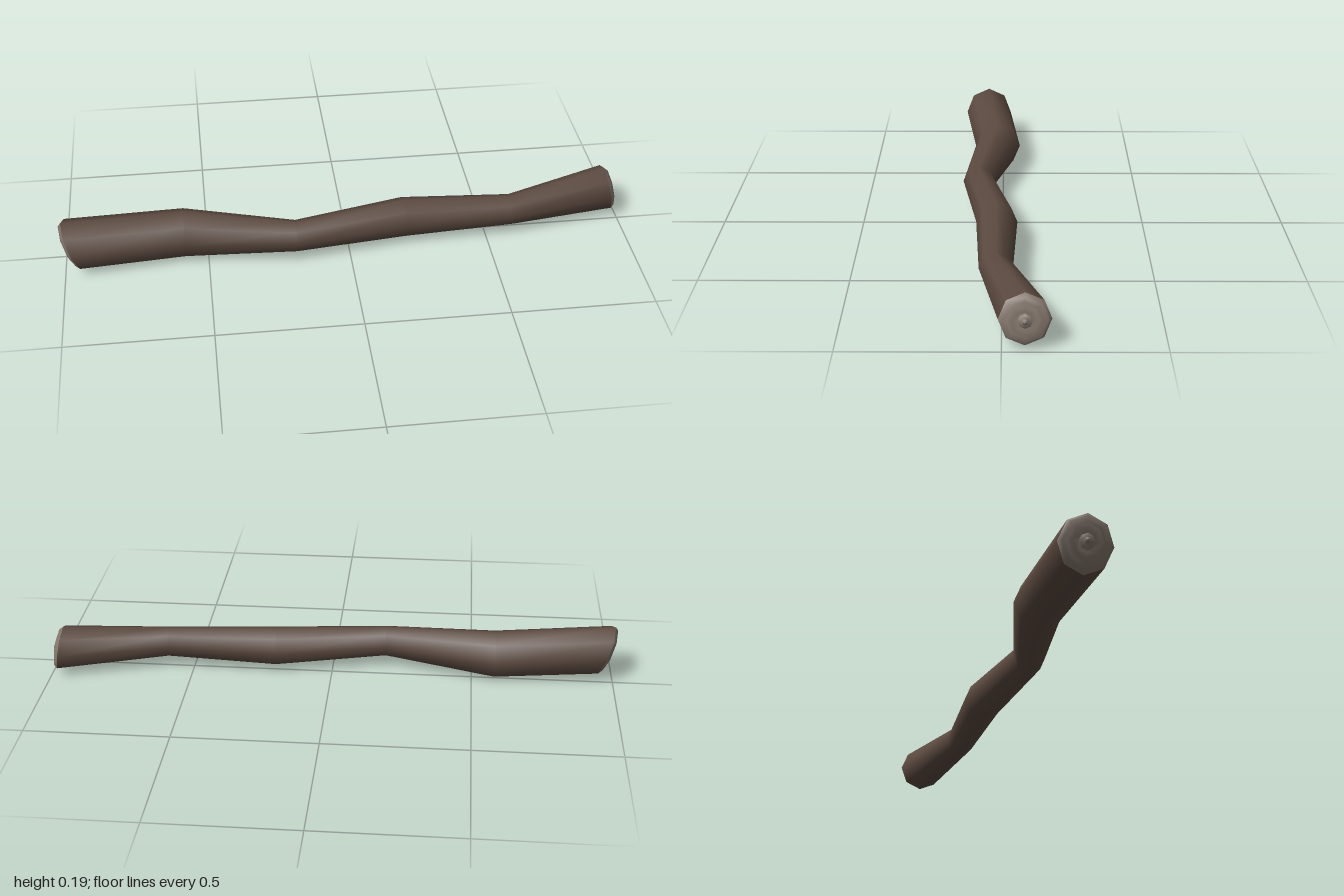
import * as THREE from 'three';

const SIDES = 8;

// Skin over rings ordered along +x; tiltY and tiltZ slant a ring's plane
function loft(rings) {
  const pos = [], index = [];
  rings.forEach(({ x, y, z, r, tiltY = 0, tiltZ = 0 }, i) => {
    for (let j = 0; j < SIDES; j++) {
      const a = (j / SIDES) * Math.PI * 2;
      const dy = r * Math.cos(a), dz = r * Math.sin(a);
      pos.push(x + tiltY * dy + tiltZ * dz, y + dy, z + dz);
      if (i === rings.length - 1) continue;
      const k = (j + 1) % SIDES, p = i * SIDES, q = p + SIDES;
      index.push(p + j, p + k, q + j, p + k, q + k, q + j);
    }
  });
  const geo = new THREE.BufferGeometry();
  geo.setAttribute('position', new THREE.Float32BufferAttribute(pos, 3));
  geo.setIndex(index);
  geo.computeVertexNormals();
  return geo;
}

// Bark cross-sections from the right end to the left end
const trunk = [
  { x: -0.97, y: 0.102, z: 0.062, r: 0.09, tiltY: -0.36 },
  { x: -0.58, y: 0.09, z: 0.022, r: 0.086 },
  { x: -0.19, y: 0.09, z: 0.09, r: 0.056 },
  { x: 0.2, y: 0.09, z: 0.02, r: 0.071 },
  { x: 0.59, y: 0.09, z: 0.02, r: 0.055 },
  { x: 0.967, y: 0.0975, z: -0.07, r: 0.081, tiltY: -0.156, tiltZ: 0.04 },
];

// Growth rings of a cut face: [share of radius, outward bulge]
const growth = [[1, 0], [0.86, 0.013], [0.68, 0.01], [0.54, 0.019], [0.31, 0.011], [0.26, 0.02], [0.12, 0.018], [0.1, 0.026], [0, 0.028]];

function cutFace(rim, side) {
  const rings = growth.map(([s, out]) => ({ ...rim, r: rim.r * s, x: rim.x + side * out }));
  return loft(side > 0 ? rings : rings.reverse());
}

export function createModel() {
  const group = new THREE.Group();
  group.name = 'log';
  const barkMat = new THREE.MeshStandardMaterial({ color: 0x5c4a40 });
  const woodMat = new THREE.MeshStandardMaterial({ color: 0x85786e });
  const add = (name, geo, mat) => {
    const mesh = new THREE.Mesh(geo, mat);
    mesh.name = name;
    group.add(mesh);
  };
  add('bark', loft(trunk), barkMat);
  add('rightCutFace', cutFace(trunk[0], -1), woodMat);
  add('leftCutFace', cutFace(trunk[trunk.length - 1], 1), woodMat);
  return group;
}
